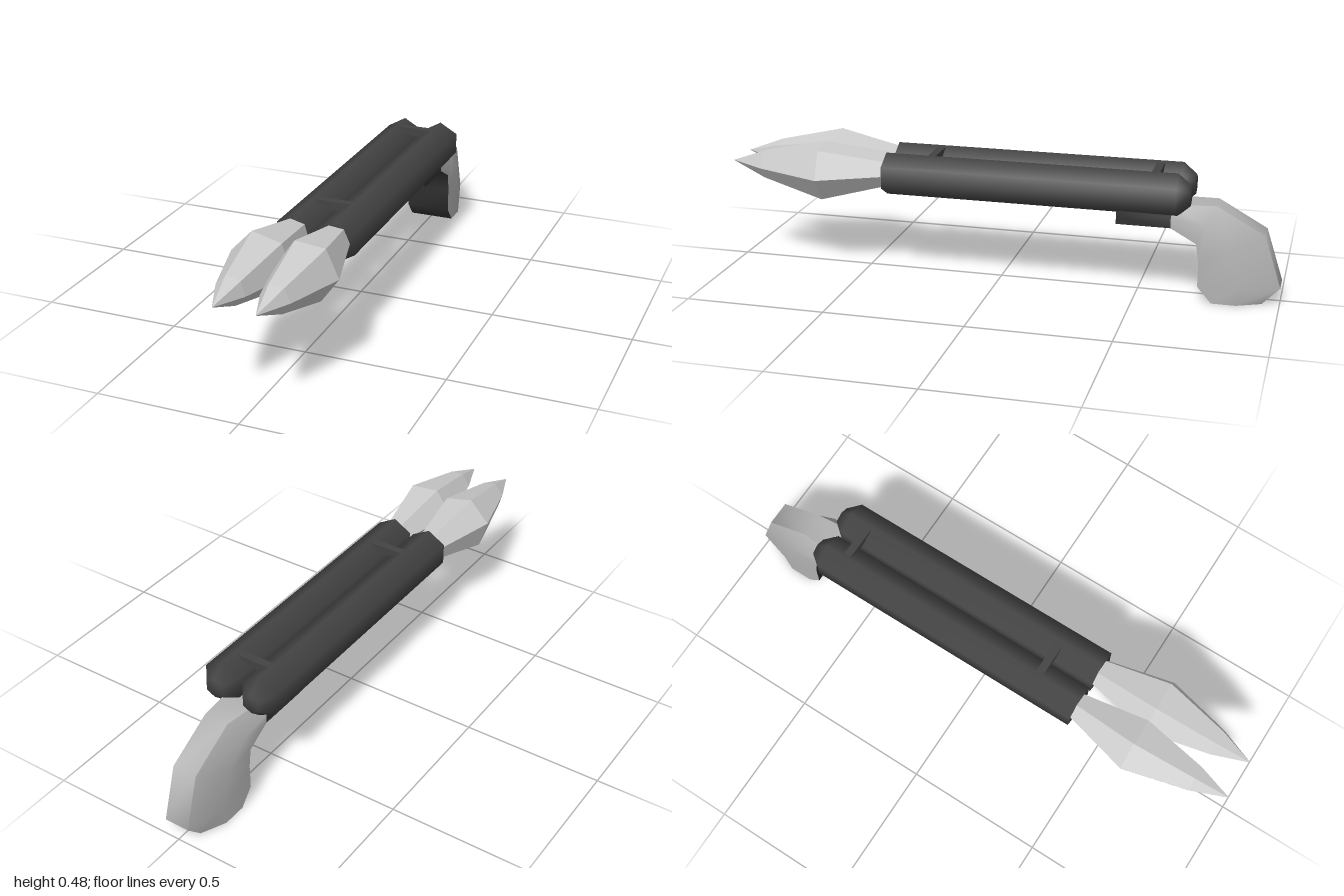
import * as THREE from 'three';

const darkMetal = new THREE.MeshStandardMaterial({ color: 0x434343 });
const blackMetal = new THREE.MeshStandardMaterial({ color: 0x303030, side: THREE.DoubleSide });
const gripGrey = new THREE.MeshStandardMaterial({ color: 0xb2b2b2, side: THREE.DoubleSide });
const flameGrey = new THREE.MeshStandardMaterial({ color: 0xdadada, flatShading: true });

// Six-sided turned shape along z, from [radius, z] pairs with z rising
function turned(profile) {
  const g = new THREE.LatheGeometry(profile.map(([r, z]) => new THREE.Vector2(r, z)), 6);
  return g.rotateX(Math.PI / 2);
}

function add(parent, name, geometry, material, x = 0, y = 0, z = 0) {
  const m = new THREE.Mesh(geometry, material);
  m.name = name;
  m.position.set(x, y, z);
  parent.add(m);
}

// Faceted muzzle flame whose belly drifts off the barrel axis
function flameGeometry(angle, dx, dy) {
  const g = turned([[0, 0.39], [0.05, 0.39], [0.108, 0.64], [0.052, 0.87], [0, 1]]);
  g.rotateZ(THREE.MathUtils.degToRad(angle));
  const p = g.attributes.position;
  for (let i = 0; i < p.count; i++) {
    const z = p.getZ(i);
    const k = z > 0.64 ? (1 - z) / 0.36 : (z - 0.39) / 0.25;
    p.setXY(i, p.getX(i) + dx * k, p.getY(i) + dy * k);
  }
  return g;
}

// Six corners of a grip section, from its front and back points
function section([fz, fy, bz, by, bw]) {
  const w = 0.085, mz = (fz + bz) / 2, my = (fy + by) / 2;
  return [[-w, fy, fz], [w, fy, fz], [w, my, mz], [bw, by, bz], [-bw, by, bz], [-w, my, mz]];
}

// Strip lofted through the chosen corners of successive sections, smooth along its length
function strip(sections, corners) {
  const pos = sections.flatMap((s) => corners.flatMap((c) => s[c]));
  const n = corners.length, idx = [];
  for (let s = 0; s < sections.length - 1; s++) {
    for (let i = 0; i < n - 1; i++) {
      const a = s * n + i;
      idx.push(a, a + n, a + 1, a + 1, a + n, a + n + 1);
    }
  }
  return indexed(pos, idx);
}

// Flat end over a six-cornered section
function cap(corners, flip) {
  const idx = [];
  for (let i = 1; i < 5; i++) idx.push(0, flip ? i + 1 : i, flip ? i : i + 1);
  return indexed(corners.flat(), idx);
}

function indexed(pos, idx) {
  const g = new THREE.BufferGeometry();
  g.setAttribute('position', new THREE.Float32BufferAttribute(pos, 3));
  g.setIndex(idx);
  g.computeVertexNormals();
  return g;
}

export function createModel() {
  const group = new THREE.Group();
  group.name = 'doubleBarrelGun';

  // Twin barrels with tapered breech ends
  const barrel = turned([[0, -0.685], [0.036, -0.685], [0.0765, -0.64], [0.0765, 0.405], [0, 0.405]]);
  add(group, 'leftBarrel', barrel, darkMetal, 0.075, 0.382);
  add(group, 'rightBarrel', barrel, darkMetal, -0.072, 0.382);

  // Muzzle flames
  add(group, 'leftFlame', flameGeometry(24, 0.007, -0.01), flameGrey, 0.071, 0.388);
  add(group, 'rightFlame', flameGeometry(16, -0.011, -0.007), flameGrey, -0.074, 0.388);

  // Cross bars joining the barrels
  const bar = new THREE.BoxGeometry(0.14, 0.03, 0.028);
  for (const z of [-0.56, 0.24]) add(group, 'crossBar', bar, darkMetal, 0, 0.439, z);

  // Bent grip: [front z, front y, back z, back y, back half width] per section
  const grip = new THREE.Group();
  grip.name = 'grip';
  grip.position.x = 0.003;
  group.add(grip);
  const sections = [
    [-0.43, 0.265, -0.43, 0.315, 0.085],
    [-0.62, 0.265, -0.62, 0.34, 0.06],
    [-0.71, 0.215, -0.77, 0.345, 0.045],
    [-0.72, 0.15, -0.94, 0.25, 0.045],
    [-0.72, 0.06, -1.0, 0.065, 0.045],
    [-0.77, 0.003, -0.94, 0.003, 0.045],
  ].map(section);
  const plate = sections.slice(0, 2), handle = sections.slice(1);

  // Dark mounting plate and finger side
  add(grip, 'mountingPlate', strip(plate, [1, 2, 3, 4, 5, 0]), blackMetal);
  add(grip, 'plateEnd', cap(sections[0], false), blackMetal);
  add(grip, 'gripFront', strip(sections, [0, 1]), blackMetal);

  // Handle sides, back and butt
  add(grip, 'gripLeftSide', strip(handle, [1, 2, 3]), gripGrey);
  add(grip, 'gripBack', strip(handle, [3, 4]), gripGrey);
  add(grip, 'gripRightSide', strip(handle, [4, 5, 0]), gripGrey);
  add(grip, 'gripButt', cap(sections[5], true), gripGrey);

  return group;
}
